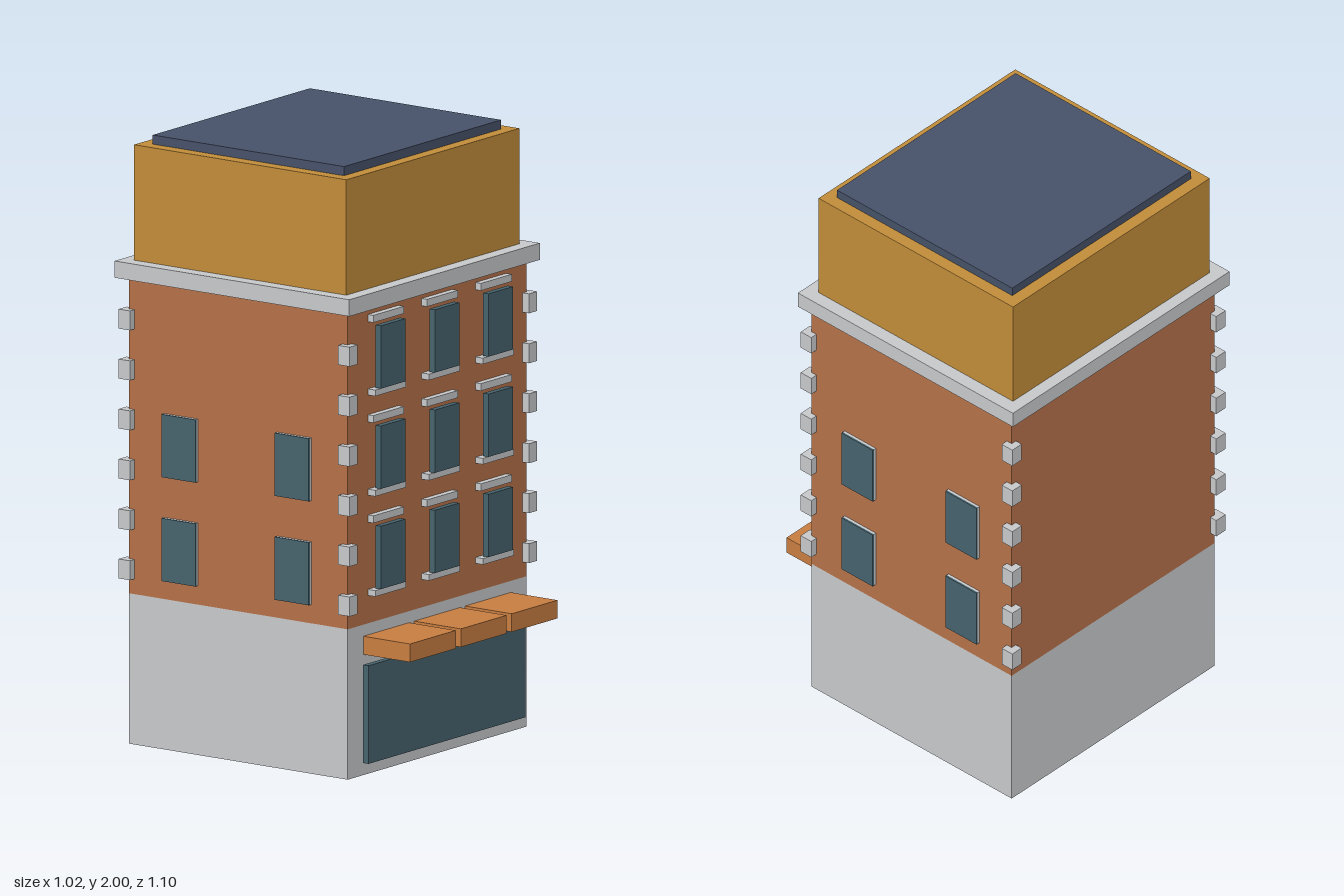
import * as THREE from 'three';

export function createModel() {
  const model = new THREE.Group();
  model.name = 'cornerBuilding';

  const paint = (name, color) => {
    const m = new THREE.MeshStandardMaterial({ color });
    m.name = name;
    return m;
  };
  const stone = paint('paleStone', 0xc7c8ca);
  const brick = paint('brick', 0xb47149);
  const glass = paint('tealGlass', 0x46626c);
  const ochre = paint('ochre', 0xc18c39);
  const slate = paint('slateRoof', 0x465168);
  const canvas = paint('orangeCanvas', 0xc77d41);

  // Box given by its minimum and maximum on each axis
  const box = (name, material, [x0, x1], [y0, y1], [z0, z1], parent = model) => {
    const mesh = new THREE.Mesh(new THREE.BoxGeometry(x1 - x0, y1 - y0, z1 - z0), material);
    mesh.position.set((x0 + x1) / 2, (y0 + y1) / 2, (z0 + z1) / 2);
    mesh.name = name;
    parent.add(mesh);
    return mesh;
  };
  const group = (name) => {
    const g = new THREE.Group();
    g.name = name;
    model.add(g);
    return g;
  };

  // Stacked storeys
  box('groundFloor', stone, [-0.48, 0.48], [0, 0.495], [-0.515, 0.36]);
  box('brickFloors', brick, [-0.48, 0.48], [0.495, 1.535], [-0.515, 0.36]);
  box('cornice', stone, [-0.512, 0.512], [1.535, 1.59], [-0.55, 0.39]);
  box('atticStorey', ochre, [-0.465, 0.465], [1.59, 1.97], [-0.507, 0.343]);
  box('roofSlab', slate, [-0.422, 0.422], [1.97, 2], [-0.464, 0.302]);

  // Shop front
  box('shopWindow', glass, [-0.422, 0.422], [0.047, 0.37], [0.378, 0.4]);
  const awnings = group('awnings');
  for (const x of [-0.273, 0, 0.273])
    box('awning', canvas, [x - 0.123, x + 0.123], [0.397, 0.457], [0.36, 0.547], awnings);

  // Front windows with lintels and sills
  const frontWindows = group('frontWindows');
  for (let row = 0; row < 3; row++) {
    const y = 0.61 + row * 0.33;
    for (const x of [-0.289, 0, 0.289]) {
      box('frontPane', glass, [x - 0.066, x + 0.066], [y, y + 0.207], [0.378, 0.4], frontWindows);
      box('lintel', stone, [x - 0.083, x + 0.083], [y + 0.218, y + 0.242], [0.36, 0.382], frontWindows);
      box('sill', stone, [x - 0.083, x + 0.083], [y - 0.023, y - 0.003], [0.36, 0.39], frontWindows);
    }
  }

  // Side windows: a stone surround with a glass plate over it
  const sideWindows = group('sideWindows');
  for (const side of [-1, 1]) {
    const span = (a, b) => (side > 0 ? [a, b] : [-b, -a]);
    for (const y of [0.557, 0.899])
      for (const z of [-0.307, 0.147]) {
        const ys = [y, y + 0.207], zs = [z - 0.068, z + 0.068];
        box('sideSurround', stone, span(0.48, 0.489), ys, zs, sideWindows);
        box('sidePane', glass, span(0.489, 0.495), ys, zs, sideWindows);
      }
  }

  // Corner stones up all four edges
  const quoins = group('cornerStones');
  for (const x of [-0.482, 0.482])
    for (const z of [-0.517, 0.362])
      for (let i = 0; i < 6; i++) {
        const y = 0.545 + i * 0.1645;
        box('cornerStone', stone, [x - 0.022, x + 0.022], [y, y + 0.064], [z - 0.023, z + 0.023], quoins);
      }

  return model;
}
